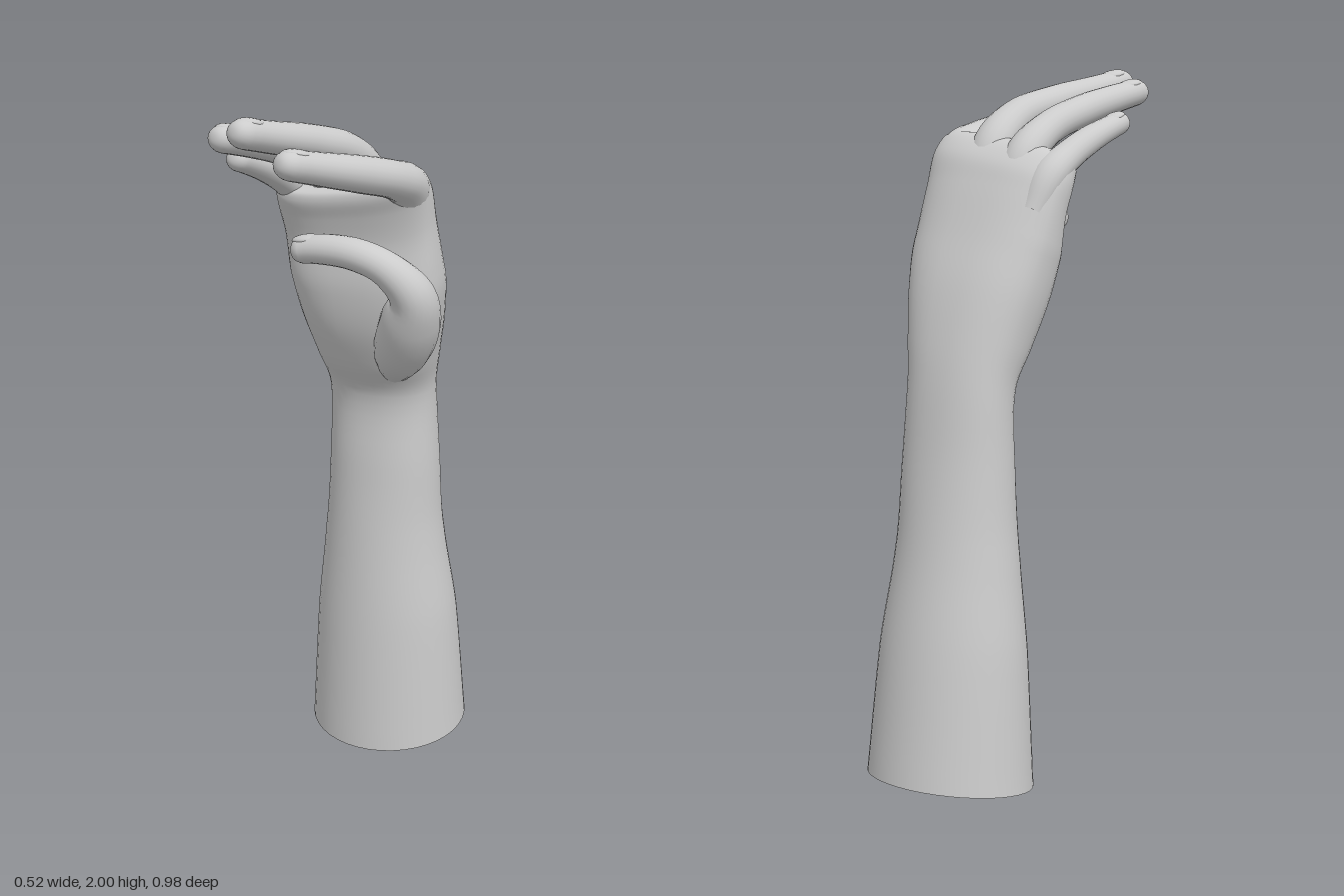
import * as THREE from 'three';
import { mergeVertices } from 'three/addons/utils/BufferGeometryUtils.js';

const V = (x, y, z) => new THREE.Vector3(x, y, z);
const skin = new THREE.MeshStandardMaterial({ color: 0xcccccc, side: THREE.DoubleSide });

// Skins a surface over rings: point(t, angle), t running along the length
function loft(name, steps, sides, point) {
  const pos = [], index = [];
  for (let i = 0; i <= steps; i++)
    for (let j = 0; j < sides; j++) pos.push(...point(i / steps, (j / sides) * Math.PI * 2).toArray());
  for (let i = 0; i < steps; i++)
    for (let j = 0; j < sides; j++) {
      const a = i * sides + j, b = i * sides + ((j + 1) % sides);
      index.push(a, b, a + sides, b, b + sides, a + sides);
    }
  let geo = new THREE.BufferGeometry();
  geo.setAttribute('position', new THREE.Float32BufferAttribute(pos, 3));
  geo.setIndex(index);
  geo = mergeVertices(geo, 1e-5);
  geo.computeVertexNormals();
  const mesh = new THREE.Mesh(geo, skin);
  mesh.name = name;
  return mesh;
}

// Forearm, wrist and palm: left x, right x, front y, front z, back y, back z, squareness, slope
function armAndPalm() {
  const rows = [
    [-0.26, 0.22, 0, -0.05, 0.065, -0.49, 2, 0],
    [-0.235, 0.195, 0.4, -0.065, 0.43, -0.44, 2, 0],
    [-0.205, 0.16, 0.65, -0.08, 0.68, -0.395, 2, 0],
    [-0.185, 0.147, 0.9, -0.095, 0.92, -0.36, 2.1, 0],
    [-0.18, 0.14, 1.12, -0.1, 1.14, -0.33, 2.2, 0],
    [-0.195, 0.165, 1.22, -0.045, 1.26, -0.305, 2.3, 0],
    [-0.22, 0.2, 1.34, 0.005, 1.41, -0.26, 2.4, 0],
    [-0.238, 0.215, 1.46, 0.025, 1.55, -0.2, 2.5, 0.03],
    [-0.245, 0.205, 1.58, 0.02, 1.68, -0.145, 2.5, 0.1],
    [-0.25, 0.205, 1.66, 0.035, 1.75, -0.11, 2.5, 0.15],
    [-0.245, 0.2, 1.71, 0.05, 1.795, -0.06, 2.5, 0.15],
    [-0.225, 0.185, 1.735, 0.045, 1.8, -0.02, 2.4, 0.15],
    [-0.12, 0.1, 1.75, 0.015, 1.77, 0, 2, 0.15],
    [-0.02, -0.02, 1.76, 0.008, 1.76, 0.008, 2, 0.15],
  ];
  const track = (f) => new THREE.CatmullRomCurve3(rows.map(f));
  const width = track((r) => V(r[0], r[1], r[6]));
  const front = track((r) => V(r[7], r[2], r[3]));
  const back = track((r) => V(r[7], r[4], r[5]));
  return loft('forearmAndPalm', 78, 40, (t, a) => {
    const w = width.getPoint(t), f = front.getPoint(t), b = back.getPoint(t);
    const round = (v) => Math.sign(v) * Math.pow(Math.abs(v), 2 / w.z);
    const dx = ((w.y - w.x) / 2) * round(Math.cos(a)), s = (1 + round(Math.sin(a))) / 2;
    return V((w.x + w.y) / 2 + dx, f.y + (b.y - f.y) * s + f.x * dx, f.z + (b.z - f.z) * s);
  });
}

// Digit: a path of [x, y, z, radius] ending in a rounded tip, with a nail on its back
function digit(name, pts, across, nailSide) {
  const path = new THREE.CatmullRomCurve3(pts.map((p) => V(p[0], p[1], p[2])));
  const radii = new THREE.CatmullRomCurve3(pts.map((p, i) => V(i, p[3], 0)));
  const frame = (t) => {
    const tan = path.getTangent(t);
    const u = across.clone().addScaledVector(tan, -across.dot(tan)).normalize();
    return { tan, u, v: tan.clone().cross(u) };
  };
  const tip = 1 - pts[pts.length - 1][3] / path.getLength();
  const group = new THREE.Group();
  group.name = name;
  group.add(loft(name + 'Flesh', 44, 20, (s, a) => {
    // the last quarter of the rings is packed into the rounded tip
    const k = Math.max(0, (s - 0.75) / 0.25);
    const t = k > 0 ? tip + (1 - tip) * Math.sin((k * Math.PI) / 2) : (s / 0.75) * tip;
    const { u, v } = frame(t);
    const r = radii.getPoint(t).y * Math.pow(Math.max(0, Math.cos((k * Math.PI) / 2)), 0.8);
    return path.getPoint(t).addScaledVector(u, r * Math.cos(a)).addScaledVector(v, 0.92 * r * Math.sin(a));
  }));

  // fingernail
  const t = tip - 0.02, { tan, u, v } = frame(t), r = radii.getPoint(t).y;
  const nail = new THREE.Mesh(new THREE.SphereGeometry(1, 16, 10), skin);
  nail.name = name + 'Nail';
  nail.applyMatrix4(new THREE.Matrix4().makeBasis(u, v, tan));
  nail.scale.set(r * 0.72, r * 0.32, r * 1.05);
  nail.position.copy(path.getPoint(t)).addScaledVector(v, nailSide * r * 0.66);
  group.add(nail);
  return group;
}

export function createModel() {
  const model = new THREE.Group();
  model.name = 'hand';
  model.add(armAndPalm());

  // four fingers reaching forward from the knuckles
  const X = V(1, 0, 0);
  const fingers = {
    indexFinger: [[0.125, 1.65, -0.07, 0.045], [0.145, 1.755, -0.015, 0.063], [0.15, 1.795, 0.08, 0.056],
      [0.118, 1.83, 0.21, 0.053], [0.075, 1.862, 0.34, 0.047], [0.028, 1.895, 0.472, 0.041]],
    middleFinger: [[0.01, 1.66, -0.08, 0.045], [0.015, 1.775, -0.03, 0.06], [0.008, 1.855, 0.07, 0.054],
      [-0.025, 1.9, 0.21, 0.051], [-0.055, 1.93, 0.34, 0.046], [-0.088, 1.965, 0.49, 0.041]],
    ringFinger: [[-0.09, 1.64, -0.09, 0.045], [-0.1, 1.75, -0.04, 0.056], [-0.11, 1.825, 0.06, 0.05],
      [-0.135, 1.875, 0.19, 0.048], [-0.155, 1.905, 0.3, 0.044], [-0.178, 1.935, 0.432, 0.039]],
    littleFinger: [[-0.18, 1.6, -0.11, 0.04], [-0.195, 1.695, -0.055, 0.051], [-0.205, 1.75, 0.02, 0.045],
      [-0.218, 1.795, 0.105, 0.041], [-0.225, 1.82, 0.17, 0.037], [-0.232, 1.848, 0.255, 0.033]],
  };
  for (const [name, pts] of Object.entries(fingers)) model.add(digit(name, pts, X, 1));

  // thumb with its fleshy base, folded across the palm
  model.add(digit('thumb', [[0.06, 1.2, -0.13, 0.045], [0.115, 1.29, -0.06, 0.085], [0.165, 1.39, -0.005, 0.09],
    [0.19, 1.475, 0.04, 0.068], [0.135, 1.55, 0.078, 0.052], [0.05, 1.583, 0.09, 0.048],
    [-0.05, 1.588, 0.092, 0.045], [-0.145, 1.575, 0.092, 0.039]], V(0, 0, 1), 1));
  return model;
}
